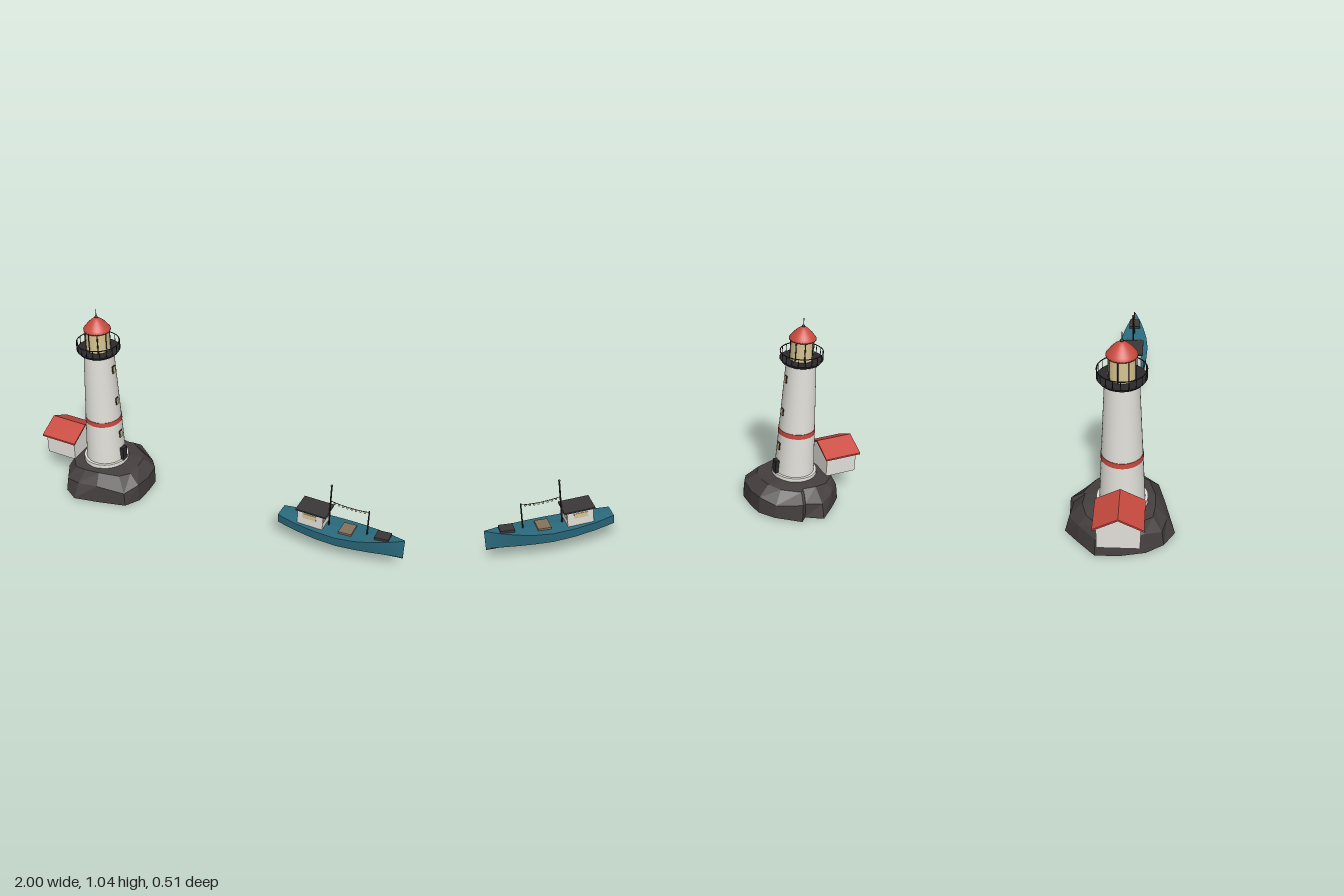
import * as THREE from 'three';

const paint = (name, color, side = THREE.FrontSide) => {
  const m = new THREE.MeshStandardMaterial({ color, side });
  m.name = name;
  return m;
};

export function createModel() {
  const white = paint('whitewash', 0xe2e0d9);
  const red = paint('roofRed', 0xc94a3f);
  const dark = paint('darkIron', 0x2b292b);
  const stone = paint('rock', 0x453f3f, THREE.DoubleSide);
  const tan = paint('warmGlass', 0xd8c592);
  const teal = paint('hullTeal', 0x2b6b7e, THREE.DoubleSide);
  const rust = paint('hullRust', 0x84352d, THREE.DoubleSide);
  const wood = paint('hatchWood', 0x86735c);
  const charcoal = paint('charcoal', 0x3b383a);

  const root = new THREE.Group();
  root.name = 'lighthouseAndBoat';

  const add = (parent, name, geo, mat, x = 0, y = 0, z = 0) => {
    const m = new THREE.Mesh(geo, mat);
    m.name = name;
    m.position.set(x, y, z);
    parent.add(m);
    return m;
  };
  const box = (parent, name, mat, w, h, d, x, y, z) =>
    add(parent, name, new THREE.BoxGeometry(w, h, d), mat, x, y, z);
  // upright cylinder given by its lower and upper heights
  const post = (parent, name, mat, r0, r1, y0, y1, x = 0, z = 0, sides = 40) =>
    add(parent, name, new THREE.CylinderGeometry(r1, r0, y1 - y0, sides), mat, x, (y0 + y1) / 2, z);
  // surface through rows of points
  const loft = (rows, closed, flat) => {
    const n = rows[0].length, idx = [];
    for (let i = 0; i < rows.length - 1; i++) {
      for (let j = 0; j < (closed ? n : n - 1); j++) {
        const k = (j + 1) % n, a = i * n, b = a + n;
        idx.push(a + j, a + k, b + k, a + j, b + k, b + j);
      }
    }
    let g = new THREE.BufferGeometry();
    g.setAttribute('position', new THREE.Float32BufferAttribute(rows.flat(2), 3));
    g.setIndex(idx);
    if (flat) g = g.toNonIndexed();
    g.computeVertexNormals();
    return g;
  };

  const island = new THREE.Group();
  island.name = 'island';
  island.position.x = -0.67;
  root.add(island);

  // Rock: hollow faceted shell; x, z, foot height, waist scale, shoulder scale
  const outline = [
    [0.253, 0, 0.004, 1, 0.76], [0.245, -0.085, 0.005, 1, 0.76], [0.19, -0.165, 0.008, 0.98, 0.76],
    [0.07, -0.245, 0.002, 0.97, 0.74], [0.045, -0.225, 0.012, 0.98, 0.74], [-0.05, -0.257, 0, 0.92, 0.68],
    [-0.135, -0.19, 0.01, 0.97, 0.8], [-0.212, -0.11, 0.003, 0.95, 0.82], [-0.215, 0, 0.006, 0.95, 0.8],
    [-0.185, 0.12, 0.003, 0.94, 0.8], [-0.14, 0.2, 0.012, 0.95, 0.74], [-0.06, 0.25, 0.015, 0.85, 0.63],
    [0.06, 0.21, 0.003, 0.96, 0.74], [0.21, 0.176, 0.008, 0.97, 0.72], [0.25, 0.096, 0.003, 0.99, 0.75]];
  const rockRows = [
    outline.map(([x, z, y]) => [x, y, z]),
    outline.map(([x, z, y, w], i) => [x * w, 0.092 + 0.012 * Math.sin(i * 2.3), z * w]),
    outline.map(([x, z, y, w, s], i) => [x * s, 0.149 + 0.006 * Math.sin(i * 1.7), z * s]),
    outline.map(([x, z]) => [x / Math.hypot(x, z) * 0.108, 0.16, z / Math.hypot(x, z) * 0.108])];
  add(island, 'rock', loft(rockRows, true, true), stone);

  // Tower
  const tower = new THREE.Group();
  tower.name = 'lighthouse';
  tower.position.z = 0.006;
  island.add(tower);
  const radiusAt = y => 0.105 - (y - 0.17) * 0.0453;
  post(tower, 'plinth', white, 0.12, 0.118, 0.135, 0.178);
  post(tower, 'towerShaft', white, radiusAt(0.17), radiusAt(0.81), 0.17, 0.81);
  post(tower, 'redBand', red, 0.0965, 0.0955, 0.402, 0.428);
  box(tower, 'door', dark, 0.03, 0.075, 0.036, 0.105, 0.213, 0);
  for (const y of [0.333, 0.533, 0.718]) {
    const r = radiusAt(y);
    box(tower, 'windowFrame', dark, 0.012, 0.04, 0.021, r - 0.001, y, 0).rotation.z = 0.045;
    box(tower, 'windowPane', tan, 0.012, 0.036, 0.017, r + 0.001, y, 0).rotation.z = 0.045;
  }

  // Gallery with railing
  post(tower, 'galleryFloor', dark, 0.098, 0.11, 0.805, 0.821);
  const rail = add(tower, 'handrail', new THREE.TorusGeometry(0.108, 0.0025, 6, 48), dark, 0, 0.861, 0);
  rail.rotation.x = Math.PI / 2;
  for (let i = 0; i < 20; i++) {
    const a = i / 20 * Math.PI * 2;
    post(tower, 'baluster', dark, 0.0018, 0.0018, 0.82, 0.861, 0.108 * Math.cos(a), 0.108 * Math.sin(a), 6);
  }

  // Lantern room and domed roof
  post(tower, 'lanternGlass', tan, 0.06, 0.06, 0.82, 0.928);
  for (let i = 0; i < 8; i++) {
    const a = (i + 0.3) / 8 * Math.PI * 2;
    post(tower, 'mullion', dark, 0.003, 0.003, 0.82, 0.928, 0.06 * Math.cos(a), 0.06 * Math.sin(a), 6);
  }
  const dome = [[0, 0.926], [0.068, 0.926], [0.068, 0.934], [0.06, 0.944], [0.048, 0.96], [0.031, 0.977], [0.013, 0.991], [0, 0.996]];
  add(tower, 'lanternRoof', new THREE.LatheGeometry(dome.map(p => new THREE.Vector2(...p)), 32), red);
  add(tower, 'finialBall', new THREE.SphereGeometry(0.008, 12, 8), dark, 0, 0.996, 0);
  post(tower, 'lightningRod', dark, 0.0018, 0.0018, 0.99, 1.037, 0, 0, 6);

  // Keeper's house: gabled body and chevron roof, extruded along x
  const house = new THREE.Group();
  house.name = 'keeperHouse';
  house.position.z = 0.003;
  root.add(house);
  const gable = (name, pts, x0, x1, mat) => {
    const g = new THREE.ExtrudeGeometry(new THREE.Shape(pts.map(p => new THREE.Vector2(...p))),
      { depth: x1 - x0, bevelEnabled: false });
    add(house, name, g.rotateY(Math.PI / 2), mat, x0);
  };
  gable('houseWalls', [[-0.095, 0.145], [0.095, 0.145], [0.095, 0.258], [0, 0.308], [-0.095, 0.258]], -0.985, -0.812, white);
  gable('houseRoof', [[-0.112, 0.25], [0, 0.308], [0.112, 0.25], [0.112, 0.259], [0, 0.317], [-0.112, 0.259]], -1, -0.797, red);

  // Boat hull stations: x, deck half width, deck height, chine half width, chine height, keel height
  const boat = new THREE.Group();
  boat.name = 'fishingBoat';
  boat.position.z = 0.004;
  root.add(boat);
  const stations = [
    [0.36, 0.042, 0.156, 0.036, 0.106, 0.09], [0.46, 0.064, 0.152, 0.058, 0.104, 0.086],
    [0.57, 0.077, 0.151, 0.072, 0.102, 0.083], [0.68, 0.081, 0.153, 0.074, 0.101, 0.081],
    [0.77, 0.072, 0.161, 0.06, 0.1, 0.081], [0.85, 0.055, 0.172, 0.042, 0.099, 0.082],
    [0.92, 0.034, 0.184, 0.023, 0.098, 0.084], [0.97, 0.014, 0.193, 0.009, 0.097, 0.086],
    [1, 0.001, 0.2, 0.001, 0.097, 0.088]];
  for (const s of [1, -1]) {
    const strip = (name, mat, f) => {
      const rows = stations.map(f);
      add(boat, name, loft(s > 0 ? rows : rows.map(r => r.reverse())), mat);
    };
    strip('hullSide', teal, ([x, w, y, cw, cy]) =>
      [[x, y, s * w], [x, (y + cy) / 2, s * (w * 0.55 + cw * 0.45)], [x, cy, s * cw]]);
    strip('hullBottom', rust, ([x, w, y, cw, cy, k]) => [[x, cy, s * cw], [x, k, 0]]);
    strip('deck', teal, ([x, w, y]) => [[x, y + Math.min(0.004, w * 0.06), 0], [x, y, s * w]]);
  }
  const [sx, sw, sy, cw, cy, ky] = stations[0];
  add(boat, 'transom', loft([[[sx, cy, -cw], [sx, cy, cw]], [[sx, sy, -sw], [sx, sy, sw]]]), teal);
  add(boat, 'transomFoot', loft([[[sx, ky, -0.001], [sx, ky, 0.001]], [[sx, cy, -cw], [sx, cy, cw]]]), rust);

  // Wheelhouse
  box(boat, 'wheelhouse', white, 0.133, 0.085, 0.102, 0.5335, 0.19, 0);
  box(boat, 'wheelhouseRoof', charcoal, 0.157, 0.008, 0.118, 0.5365, 0.235, 0);
  for (const s of [1, -1]) {
    box(boat, 'sideWindow', tan, 0.07, 0.026, 0.004, 0.53, 0.207, s * 0.0515);
    box(boat, 'frontWindow', tan, 0.004, 0.03, 0.037, 0.6005, 0.206, s * 0.024);
  }

  // Hatches
  box(boat, 'cargoHatch', wood, 0.066, 0.014, 0.082, 0.713, 0.161, 0).rotation.z = 0.07;
  box(boat, 'bowHatch', charcoal, 0.07, 0.014, 0.06, 0.892, 0.186, 0).rotation.z = 0.1;

  // Masts and string of lamps
  post(boat, 'mainMast', dark, 0.0045, 0.004, 0.155, 0.392, 0.615, 0, 8);
  add(boat, 'mastLamp', new THREE.SphereGeometry(0.006, 10, 8), charcoal, 0.615, 0.394, 0);
  post(boat, 'foreMast', dark, 0.004, 0.0035, 0.165, 0.31, 0.812, 0, 8);
  const rope = new THREE.QuadraticBezierCurve3(
    new THREE.Vector3(0.615, 0.303, 0), new THREE.Vector3(0.7135, 0.287, 0), new THREE.Vector3(0.812, 0.303, 0));
  add(boat, 'lampRope', new THREE.TubeGeometry(rope, 16, 0.0018, 6), dark);
  for (let i = 1; i < 9; i++) {
    const p = rope.getPoint(i / 9);
    add(boat, 'lampBulb', new THREE.SphereGeometry(0.0055, 10, 8), tan, p.x, p.y - 0.006, 0);
  }
  return root;
}
